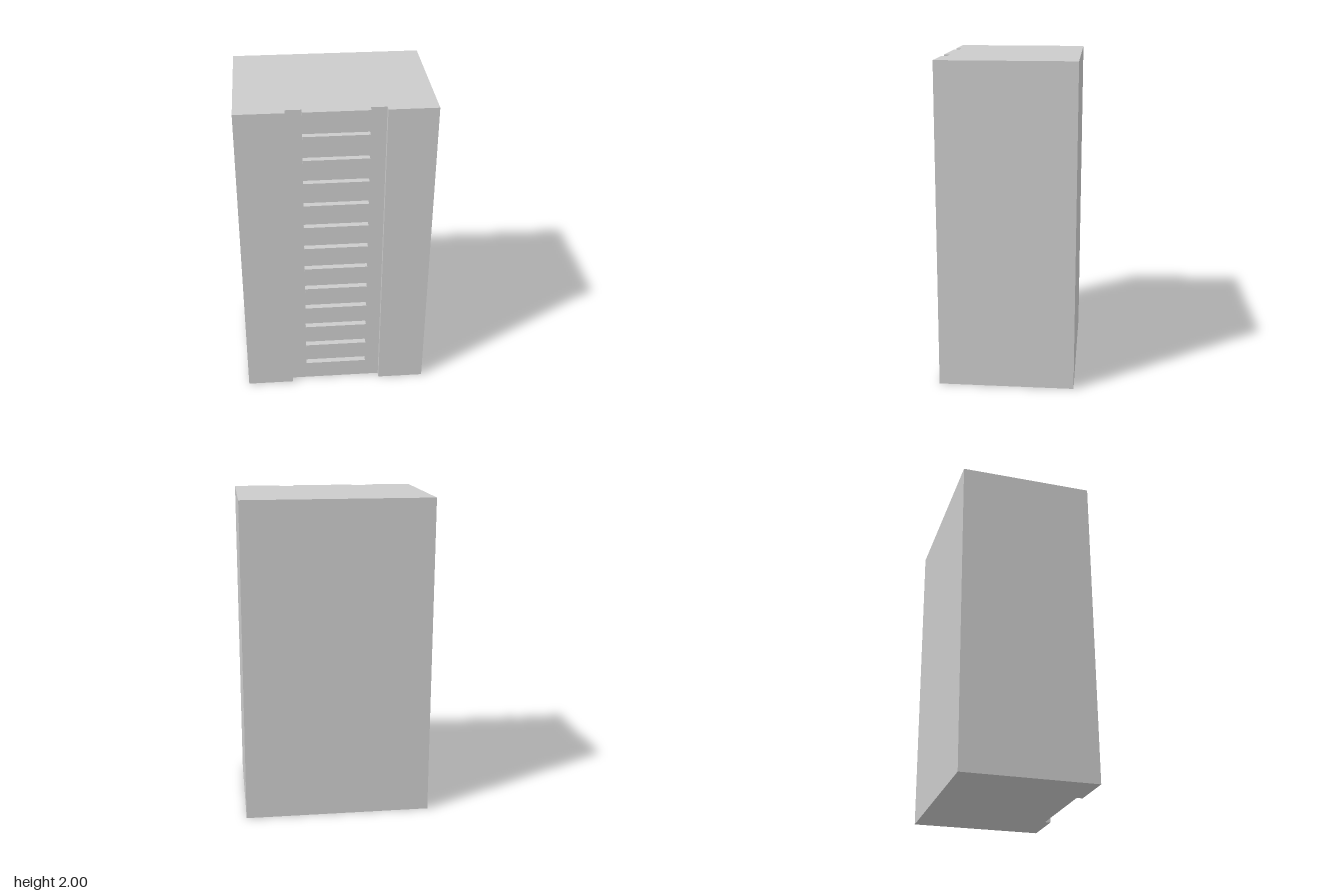
import * as THREE from 'three';

const HALF_W = 0.583, HALF_D = 0.417, HEIGHT = 2;
const CHANNEL_HALF = 0.29, CHANNEL_Z = 0.38;
const RUNG_W = 0.39, RUNG_H = 0.024, RUNG_COUNT = 13, RUNG_STEP = 0.1537;

export function createModel() {
  const group = new THREE.Group();
  const material = new THREE.MeshStandardMaterial({ color: 0xcccccc, flatShading: true });

  // Block with a shallow full-height channel in its front, drawn in plan (y = -z)
  const plan = new THREE.Shape([
    [-HALF_W, HALF_D], [-HALF_W, -HALF_D],
    [-CHANNEL_HALF, -HALF_D], [-CHANNEL_HALF, -CHANNEL_Z],
    [CHANNEL_HALF, -CHANNEL_Z], [CHANNEL_HALF, -HALF_D],
    [HALF_W, -HALF_D], [HALF_W, HALF_D],
  ].map(([x, y]) => new THREE.Vector2(x, y)));
  const bodyGeometry = new THREE.ExtrudeGeometry(plan, { depth: HEIGHT, bevelEnabled: false });
  bodyGeometry.rotateX(-Math.PI / 2);
  const body = new THREE.Mesh(bodyGeometry, material);
  body.name = 'body';
  group.add(body);

  // Ladder rungs, flush with the front; the highest is flush with the top
  const ladder = new THREE.Group();
  ladder.name = 'ladder';
  const rungDepth = HALF_D - CHANNEL_Z;
  const rungGeometry = new THREE.BoxGeometry(RUNG_W, RUNG_H, rungDepth);
  for (let i = 0; i < RUNG_COUNT; i++) {
    const rung = new THREE.Mesh(rungGeometry, material);
    rung.name = 'rung';
    rung.position.set(0, HEIGHT - RUNG_H / 2 - i * RUNG_STEP, CHANNEL_Z + rungDepth / 2);
    ladder.add(rung);
  }
  group.add(ladder);

  return group;
}
